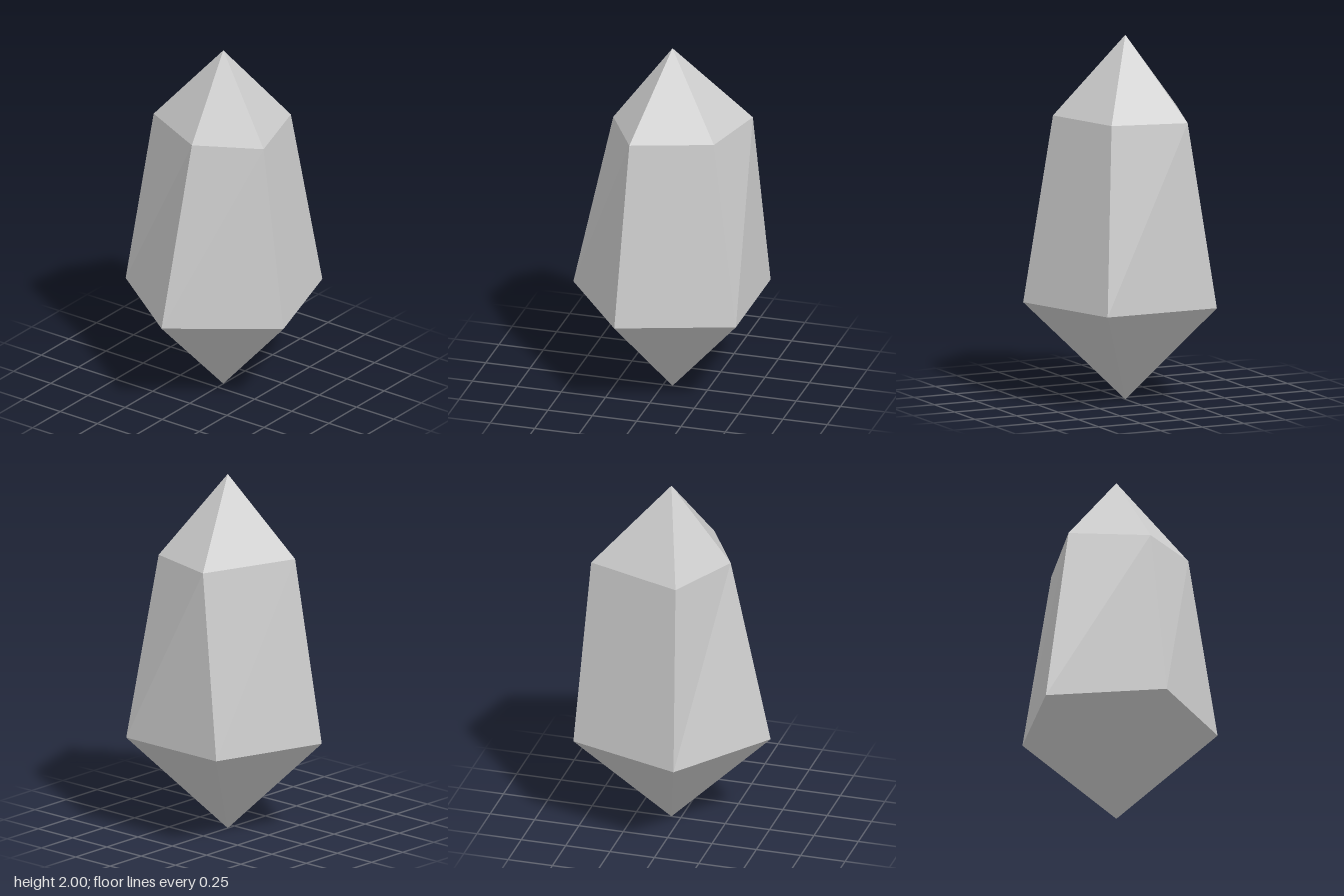
import * as THREE from 'three';

// Ring corners as [x, z], counted from the front towards +x
const apex = Array(5).fill([0, -0.053]);
const shoulder = [[0.03, 0.272], [0.37, 0.08], [0.23, -0.355], [-0.18, -0.452], [-0.37, 0.08]];
const girdle = [[0, 0.506], [0.531, 0.117], [0.328, -0.508], [-0.328, -0.508], [-0.531, 0.117]];

// Flat facets between two five-sided rings; either ring may collapse to a point
function facets(name, material, upper, yUpper, lower, yLower) {
  const positions = [];
  const top = i => [upper[i % 5][0], yUpper, upper[i % 5][1]];
  const bottom = i => [lower[i % 5][0], yLower, lower[i % 5][1]];
  for (let i = 0; i < 5; i++) {
    if (upper !== apex) positions.push(...top(i), ...bottom(i), ...top(i + 1));
    if (lower !== apex) positions.push(...bottom(i), ...bottom(i + 1), ...top(i + 1));
  }
  const geometry = new THREE.BufferGeometry();
  geometry.setAttribute('position', new THREE.Float32BufferAttribute(positions, 3));
  geometry.computeVertexNormals();
  const mesh = new THREE.Mesh(geometry, material);
  mesh.name = name;
  return mesh;
}

export function createModel() {
  const group = new THREE.Group();
  group.name = 'crystal';
  const material = new THREE.MeshStandardMaterial({ color: 0xcccccc, flatShading: true });
  group.add(
    facets('crystalTip', material, apex, 2, shoulder, 1.565),
    facets('crystalBody', material, shoulder, 1.565, girdle, 0.547),
    facets('crystalRoot', material, girdle, 0.547, apex, 0),
  );
  return group;
}
